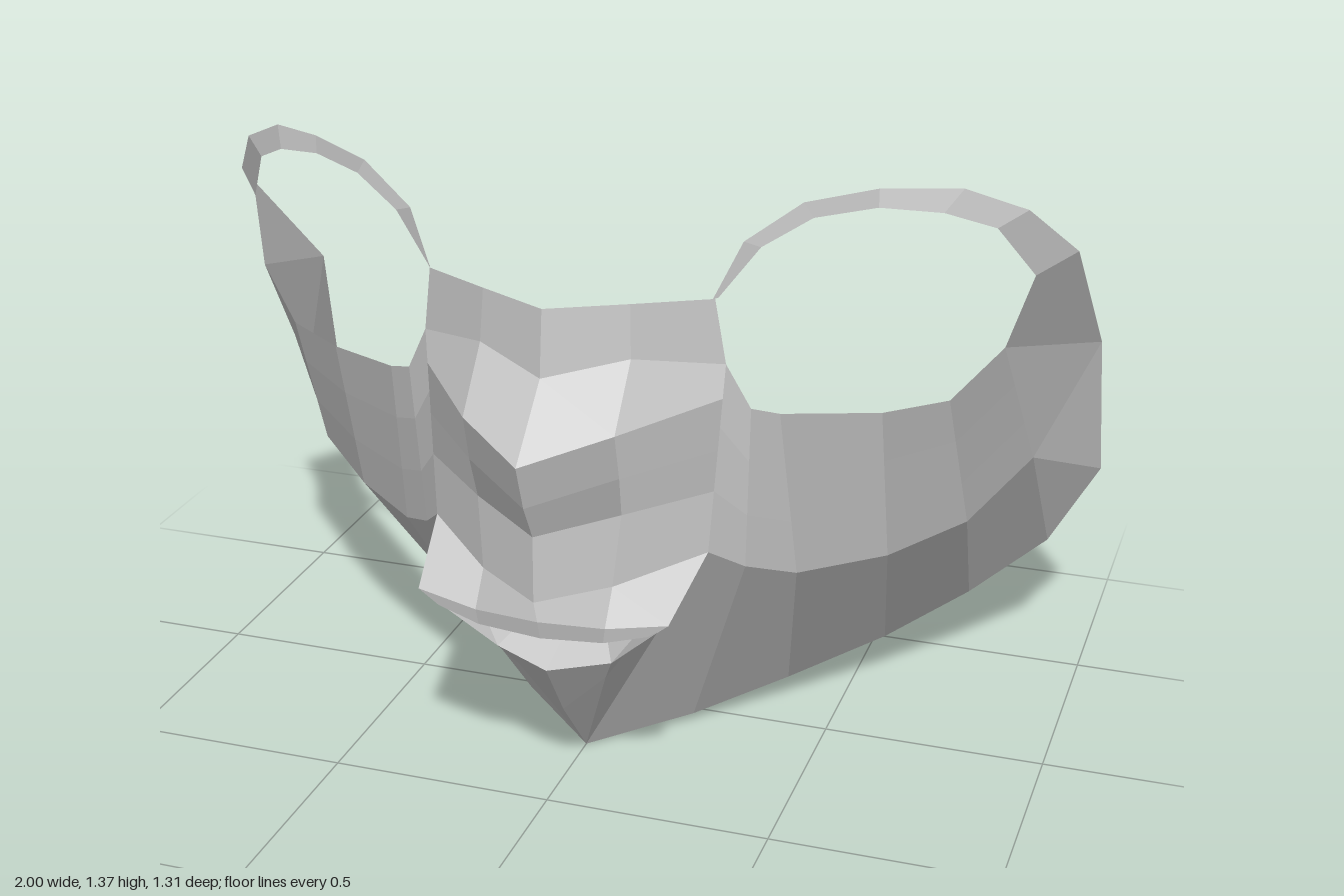
import * as THREE from 'three';

const grey = new THREE.MeshStandardMaterial({ color: 0xc8c8c8, side: THREE.DoubleSide });
grey.name = 'maskGrey';

// Skins neighbouring cross-section rows of the left half with evenly shaded
// four-sided facets, then mirrors them to the right
function skin(name, ...rows) {
  const pos = [], nor = [];
  const quad = (a, b, c, d) => {
    const [A, B, C, D] = [a, b, c, d].map((p) => new THREE.Vector3(...p));
    const n = C.sub(A).cross(D.sub(B)).normalize();
    pos.push(...a, ...b, ...c, ...a, ...c, ...d);
    for (let i = 0; i < 6; i++) nor.push(n.x, n.y, n.z);
    for (const p of [a, c, b, a, d, c]) {
      pos.push(-p[0], p[1], p[2]);
      nor.push(-n.x, n.y, n.z);
    }
  };
  for (let r = 0; r + 1 < rows.length; r++) {
    const up = rows[r], low = rows[r + 1];
    for (let i = 0; i + 1 < up.length; i++) quad(up[i], low[i], low[i + 1], up[i + 1]);
  }
  const geo = new THREE.BufferGeometry();
  geo.setAttribute('position', new THREE.Float32BufferAttribute(pos, 3));
  geo.setAttribute('normal', new THREE.Float32BufferAttribute(nor, 3));
  const mesh = new THREE.Mesh(geo, grey);
  mesh.name = name;
  return mesh;
}

// Point and row part-way between two others
const mix = (a, b, t) => a.map((v, i) => v + (b[i] - v) * t);
const mixRow = (a, b, t) => a.map((p, i) => mix(p, b[i], t));

export function createModel() {
  const group = new THREE.Group();
  group.name = 'mask';

  // Shared corners
  const chinTip = [0, 0, 0.24];
  const mouthCorner = [0.31, 0.57, 0.335];
  const browSide = [0.335, 0.99, 0.31];
  const eyeOuter = [0.905, 1.13, -0.045];
  const eyeLow = [0.86, 0.985, 0.015];
  const cheekBack = [0.895, 0.63, -0.255];
  const jawBack = [0.9, 0.3, -0.545];
  const rearLow = [1, 0.455, -0.655];
  const rearHigh = [0.99, 0.81, -0.565];
  const earBase = [0.98, 1.165, -0.13];

  // Cheek: eye-hole rim, cheek crease, jaw edge
  const eyeRim = [browSide, [0.385, 0.89, 0.29], [0.44, 0.875, 0.262],
    [0.63, 0.855, 0.14], [0.76, 0.875, 0.075], eyeLow];
  const crease = [mouthCorner, [0.37, 0.51, 0.255], [0.46, 0.465, 0.16],
    [0.63, 0.47, 0.02], [0.78, 0.52, -0.105], cheekBack];
  const jaw = [chinTip, [0.2, 0.02, 0.06], [0.38, 0.06, -0.11],
    [0.57, 0.115, -0.28], [0.74, 0.195, -0.42], jawBack];
  group.add(skin('upperCheek', eyeRim, mixRow(eyeRim, crease, 0.33), mixRow(eyeRim, crease, 0.67), crease));
  group.add(skin('lowerCheek', crease, jaw));

  // Rear of each side
  group.add(skin('rearCheek',
    [eyeOuter, eyeLow, cheekBack, cheekBack, jawBack],
    [earBase, rearHigh, rearHigh, rearLow, rearLow]));

  // Thin arch over each eye
  group.add(skin('eyeArch',
    [[0.31, 1.135, 0.33], [0.365, 1.255, 0.3], [0.48, 1.34, 0.27], [0.62, 1.365, 0.21],
      [0.77, 1.345, 0.09], [0.89, 1.285, 0], earBase],
    [[0.318, 1.135, 0.315], [0.4, 1.245, 0.295], [0.5, 1.308, 0.265], [0.62, 1.325, 0.21],
      [0.74, 1.305, 0.14], [0.835, 1.255, 0.05], eyeOuter]));

  // Brow and nose, from the top edge down to the mouth
  const side = (t) => mix(browSide, mouthCorner, t);
  const noseBase = [[0, 0.51, 0.565], [0.145, 0.53, 0.48], mouthCorner];
  group.add(skin('nose',
    [[0, 1.135, 0.495], [0.16, 1.135, 0.41], [0.314, 1.135, 0.325]],
    [[0, 0.99, 0.51], [0.165, 1.02, 0.42], browSide],
    [[0, 0.85, 0.655], [0.165, 0.89, 0.525], side(0.18)],
    [[0, 0.745, 0.615], [0.165, 0.785, 0.495], side(0.45)],
    [[0, 0.66, 0.565], [0.16, 0.69, 0.465], side(0.67)],
    noseBase));

  // Upper lip shelf and its lower edge
  const lipCorner = [0.28, 0.478, 0.518];
  group.add(skin('upperLip', noseBase,
    [[0, 0.455, 0.545], [0.145, 0.455, 0.53], lipCorner],
    [[0, 0.41, 0.53], [0.14, 0.42, 0.527], [0.235, 0.445, 0.517]]));

  // Chin front, lower lip and the ledge inside the mouth
  const chinFold = [[0, 0.168, 0.39], [0.1, 0.265, 0.395], mouthCorner];
  const lipEdge = [[0, 0.315, 0.495], [0.13, 0.33, 0.445], [0.25, 0.45, 0.505]];
  group.add(skin('chin', chinFold, [chinTip, chinTip, chinTip]));
  group.add(skin('lowerLip', lipEdge, chinFold));
  group.add(skin('mouthCornerFold', [mouthCorner, lipCorner], [mouthCorner, lipEdge[2]]));
  group.add(skin('lowerLipLedge', [...lipEdge, mouthCorner],
    [[0, 0.345, 0.38], [0.1, 0.36, 0.385], [0.2, 0.44, 0.31], mouthCorner]));
  return group;
}
